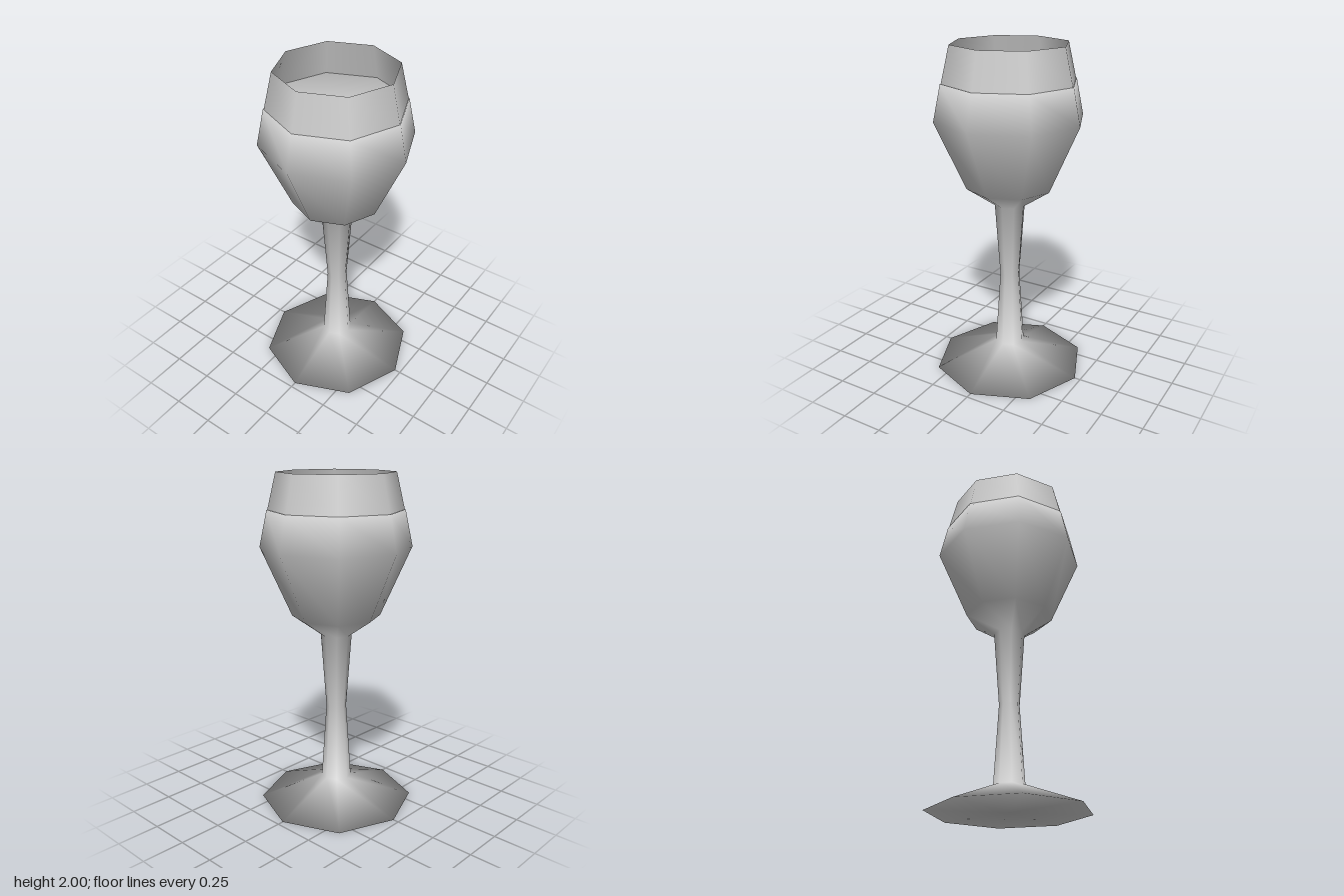
import * as THREE from 'three';

const SIDES = 8;

// Eight-sided turned part with smooth normals, profile given as [radius, height]
function turned(name, profile, material) {
  const points = profile.map(([r, y]) => new THREE.Vector2(r, y));
  const mesh = new THREE.Mesh(new THREE.LatheGeometry(points, SIDES), material);
  mesh.name = name;
  return mesh;
}

export function createModel() {
  const group = new THREE.Group();
  group.name = 'wineGlass';
  const solid = new THREE.MeshStandardMaterial({ color: 0xcccccc });
  const thin = new THREE.MeshStandardMaterial({ color: 0xcccccc, side: THREE.DoubleSide });

  // Foot, waisted stem and bowl, closed by the level surface of the drink
  group.add(turned('footStemAndFilledBowl', [
    [0, 0], [0.465, 0],
    [0.09, 0.145], [0.06, 0.61], [0.092, 1.06],
    [0.26, 1.175], [0.44, 1.58],
    [0.395, 1.79], [0, 1.79],
  ], solid));

  // Thin open wall of the bowl above the drink
  group.add(turned('bowlRim', [[0.39, 1.79], [0.34, 2]], thin));

  return group;
}
